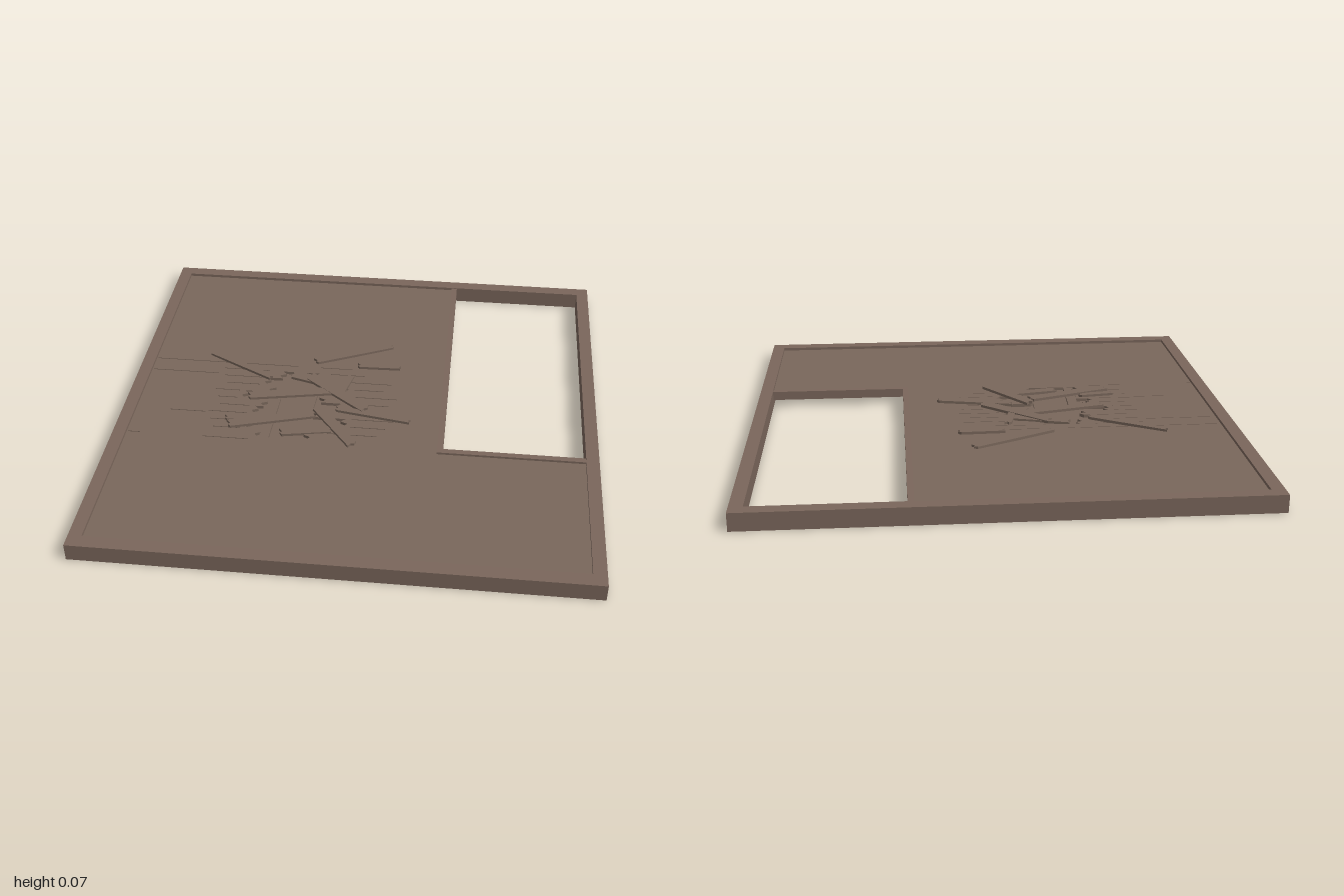
import * as THREE from 'three';

const frameBrown = new THREE.MeshStandardMaterial({ color: 0x7a665b });
frameBrown.name = 'frame brown';
const boardBrown = new THREE.MeshStandardMaterial({ color: 0x79675b });
boardBrown.name = 'board brown';

const rect = (x0, x1, z0, z1) => [[x0, z0], [x1, z0], [x1, z1], [x0, z1]];

// closed path from [x, z] points, wound counter-clockwise or clockwise as asked
function outline(pts, Type, clockwise) {
  const path = pts.map(([x, z]) => new THREE.Vector2(x, -z));
  if (THREE.ShapeUtils.isClockWise(path) !== clockwise) path.reverse();
  return new Type(path);
}

// horizontal slab between two heights
function slab(name, pts, holes, y0, y1, material) {
  const shape = outline(pts, THREE.Shape, false);
  shape.holes = holes.map(h => outline(h, THREE.Path, true));
  const geo = new THREE.ExtrudeGeometry(shape, { depth: y1 - y0, bevelEnabled: false });
  geo.rotateX(-Math.PI / 2).translate(0, y0, 0);
  const mesh = new THREE.Mesh(geo, material);
  mesh.name = name;
  return mesh;
}

// board with splintered ends lying between two [x, z] points
function brokenBoard(name, [ax, az, bx, bz], width, y0, thick, tilt) {
  const half = Math.hypot(bx - ax, bz - az) / 2, w = width / 2;
  const pts = [[-half, -w], [half - 0.012, -w], [half, -w * 0.3], [half - 0.008, w * 0.2], [half - 0.002, w],
    [-half + 0.01, w], [-half + 0.002, w * 0.4], [-half + 0.012, 0]];
  const mesh = slab(name, pts, [], 0, thick, boardBrown);
  mesh.position.set((ax + bx) / 2, y0, (az + bz) / 2);
  mesh.rotation.set(0, -Math.atan2(bz - az, bx - ax), tilt);
  return mesh;
}

export function createModel() {
  const model = new THREE.Group();
  model.name = 'damagedFloor';

  // outer frame, open underneath
  model.add(slab('frame', rect(-0.987, 0.987, -1, 1), [rect(-0.935, 0.935, -0.947, 0.942)], 0, 0.07, frameBrown));

  // L-shaped floor around the stair opening
  const floorPts = [[-0.935, -0.947], [0.342, -0.947], [0.342, 0.31], [0.935, 0.31], [0.935, 0.942], [-0.935, 0.942]];
  model.add(slab('subfloor', floorPts, [], 0.04, 0.045, boardBrown));

  // jagged break: each row of boards snaps at a different place
  const rows = 9, z0 = -0.19, step = 0.052, left = [], right = [];
  const leftEnds = [-0.36, -0.42, -0.39, -0.5, -0.41, -0.44, -0.38, -0.45, -0.4];
  const rightEnds = [-0.2, -0.1, -0.06, -0.16, -0.08, -0.18, -0.05, -0.14, -0.19];
  for (let i = 0; i < rows; i++) {
    const z = z0 + i * step;
    for (const [t, j] of [[0, 0], [0.35, 0.018], [0.6, -0.01], [1, 0.006]]) {
      left.push([leftEnds[i] + j, z + t * (step - 0.001)]);
      right.push([rightEnds[i] - j, z + t * (step - 0.001)]);
    }
  }
  const holes = [[...left, ...right.reverse()]];

  // open seams between loosened boards
  for (let i = 1; i < rows; i++) {
    const z = z0 + i * step;
    const from = Math.min(leftEnds[i - 1], leftEnds[i]) - 0.025;
    const to = Math.max(rightEnds[i - 1], rightEnds[i]) + 0.025;
    holes.push(rect(-0.63 + (i % 3) * 0.02, from, z - 0.002, z + 0.002));
    holes.push(rect(to, 0.15 - (i % 3) * 0.03, z - 0.002, z + 0.002));
  }
  for (const [a, b, z] of [[-0.93, -0.3, -0.235], [-0.2, -0.06, -0.235], [-0.93, -0.64, -0.15],
    [-0.62, -0.42, -0.19], [-0.15, 0, -0.19], [-0.79, -0.64, 0.13], [-0.93, -0.88, 0.295], [-0.62, -0.43, 0.295]])
    holes.push(rect(a, b, z - 0.002, z + 0.002));
  model.add(slab('floorBoards', floorPts, holes, 0.045, 0.058, boardBrown));

  // trim around the stair opening
  const trim = [[0.34, -0.947], [0.365, -0.947], [0.365, 0.287], [0.935, 0.287], [0.935, 0.312], [0.34, 0.312]];
  model.add(slab('openingTrim', trim, [], 0.03, 0.067, frameBrown));

  // joists under the break and the header that carries them
  const beams = new THREE.Group();
  beams.name = 'joists';
  const beam = (name, x, z, w, d) => {
    const m = new THREE.Mesh(new THREE.BoxGeometry(w, 0.04, d), boardBrown);
    m.name = name;
    m.position.set(x, 0.022, z);
    beams.add(m);
  };
  beam('joist', 0.14, 0.08, 0.016, 0.58);
  for (const x of [-0.04, -0.19, -0.32, -0.45]) beam('joist', x, 0.02, 0.016, 0.72);
  beam('header', -0.23, -0.29, 0.78, 0.016);
  model.add(beams);

  // loose debris: end points, width, height
  const debris = [
    [[-0.23, -0.27, 0.1, -0.43], 0.035, 0.058], [[-0.04, -0.26, 0.15, -0.265], 0.03, 0.058],
    [[-0.7, -0.3, -0.4, -0.13], 0.03, 0.058], [[-0.48, 0.015, -0.13, -0.06], 0.045, 0.06],
    [[-0.32, -0.17, -0.08, -0.1], 0.05, 0.055], [[-0.24, -0.16, 0.03, 0.06], 0.05, 0.06],
    [[-0.53, 0.22, -0.18, 0.11], 0.045, 0.062], [[-0.18, 0.06, 0, 0.3], 0.045, 0.06],
    [[-0.1, 0.06, 0.22, 0.12], 0.03, 0.059], [[-0.36, 0.01, -0.37, 0.29], 0.04, 0.047],
    [[-0.31, 0.24, -0.1, 0.2], 0.04, 0.053], [[-0.2, -0.1, -0.21, 0.1], 0.03, 0.047],
    [[-0.09, -0.05, -0.06, -0.18], 0.03, 0.058], [[-0.55, 0.17, -0.4, 0.15], 0.03, 0.057]
  ];
  const pile = new THREE.Group();
  pile.name = 'debris';
  debris.forEach(([line, w, y], i) =>
    pile.add(brokenBoard('looseBoard', line, w, y, 0.011, (i % 3 - 1) * 0.01)));
  model.add(pile);

  return model;
}
